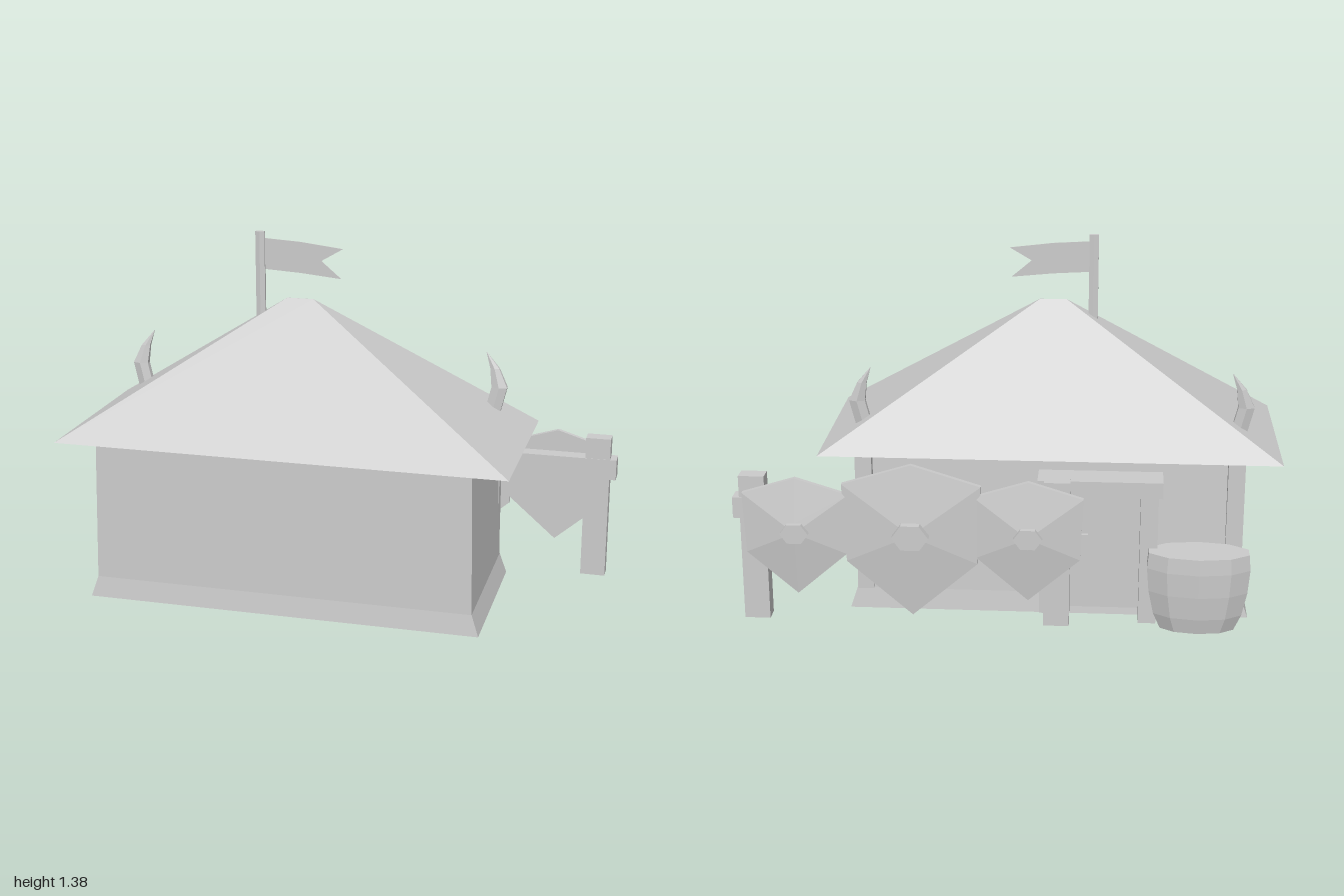
import * as THREE from 'three';

const CX = -0.152; // centre of the house

// Flat-shaded solid through rings of points, counter-clockwise about the direction of travel
function loft(rings) {
  const n = rings[0].length, pos = [];
  const tri = (a, b, c) => pos.push(...a, ...b, ...c);
  for (let r = 0; r + 1 < rings.length; r++) {
    const a = rings[r], b = rings[r + 1];
    for (let i = 0; i < n; i++) {
      const j = (i + 1) % n;
      tri(a[i], a[j], b[j]);
      tri(a[i], b[j], b[i]);
    }
  }
  const first = rings[0], last = rings[rings.length - 1];
  for (let i = 1; i + 1 < n; i++) {
    tri(first[0], first[i + 1], first[i]);
    tri(last[0], last[i], last[i + 1]);
  }
  const g = new THREE.BufferGeometry();
  g.setAttribute('position', new THREE.Float32BufferAttribute(pos, 3));
  g.computeVertexNormals();
  return g;
}

const rect = (y, hx, front, back) => [[-hx, front], [hx, front], [hx, back], [-hx, back]]
  .map(([x, z]) => [CX + x, y, z]);

const oval = (x, y, z, rx, rz, n) => Array.from({ length: n }, (_, i) => {
  const t = (i / n) * Math.PI * 2;
  return [x + Math.sin(t) * rx, y, z + Math.cos(t) * rz];
});

export function createModel() {
  const model = new THREE.Group();
  const grey = new THREE.MeshStandardMaterial({ color: 0xcccccc });
  grey.name = 'grey';

  const add = (name, geo, parent = model) => {
    const m = new THREE.Mesh(geo, grey);
    m.name = name;
    parent.add(m);
    return m;
  };
  const box = (name, x0, x1, y0, y1, z0, z1) => {
    const m = add(name, new THREE.BoxGeometry(x1 - x0, y1 - y0, z1 - z0));
    m.position.set((x0 + x1) / 2, (y0 + y1) / 2, (z0 + z1) / 2);
    return m;
  };

  // House body with a raised floor inside the flared foot, and hipped roof
  add('walls', loft([
    rect(0.08, 0.718, 0.378, -0.233), rect(0, 0.747, 0.389, -0.243),
    rect(0.08, 0.72, 0.38, -0.235), rect(0.62, 0.708, 0.374, -0.21),
  ]));
  add('roof', loft([rect(0.62, 0.848, 0.436, -0.29), rect(1.135, 0.05, 0.074, 0.072)]));

  // Timber posts on the back corners
  for (const s of [-1, 1]) {
    const x = CX + s * 0.685;
    box('cornerPost', x - 0.031, x + 0.031, 0.08, 0.62, -0.245, -0.2);
  }

  // Flagpole and swallow-tailed flag
  const pole = add('flagPole', new THREE.CylinderGeometry(0.02, 0.02, 0.34, 6).toNonIndexed());
  pole.geometry.computeVertexNormals();
  pole.geometry.scale(1, 1, 0.55);
  pole.position.set(-0.301, 1.21, 0.08);
  const flagShape = new THREE.Shape([
    [-0.29, 1.24], [-0.15, 1.232], [0.005, 1.217], [-0.07, 1.28],
    [0.012, 1.328], [-0.15, 1.347], [-0.29, 1.355],
  ].map(([x, y]) => new THREE.Vector2(x, y)));
  const flag = add('flag', new THREE.ExtrudeGeometry(flagShape, { depth: 0.003, bevelEnabled: false }));
  flag.position.z = 0.076;

  // Curved roof horns: height, outward offset, radius, depth
  const hornPath = [
    [0.7, 0.695, 0.034, -0.128], [0.79, 0.717, 0.034, -0.132],
    [0.86, 0.697, 0.02, -0.138], [0.92, 0.663, 0.001, -0.143],
  ];
  for (const s of [-1, 1]) {
    add('roofHorn', loft(hornPath.map(([y, x, r, z]) => oval(CX + s * x, y, z, r, r * 0.62, 6))));
  }

  // Doorway at the back
  box('door', -0.5, -0.17, 0.03, 0.5, -0.247, -0.2);
  box('doorHandle', -0.3, -0.275, 0.29, 0.325, -0.262, -0.24);
  box('doorPost', -0.555, -0.49, 0, 0.51, -0.315, -0.2);
  box('doorJamb', -0.18, -0.12, 0, 0.51, -0.25, -0.2);
  box('doorLintel', -0.57, -0.115, 0.5, 0.56, -0.333, -0.2);

  // Rail carrying the shields
  for (const x of [0.88, -0.235]) box('railPost', x, x + 0.095, 0, 0.562, -0.36, -0.3);
  box('rail', -0.24, 1.0, 0.4, 0.48, -0.364, -0.298);

  // Pointed six-sided shields with raised bosses
  const outline = [[0, 0.2], [-0.195, 0.14], [-0.185, -0.09], [0, -0.25], [0.185, -0.09], [0.195, 0.14]];
  const ring = (k, z) => outline.map(([x, y]) => [x * k, y * k, z]);
  const hex = (r, z) => Array.from({ length: 6 }, (_, i) =>
    [Math.cos(i * Math.PI / 3) * r, Math.sin(i * Math.PI / 3) * r * 0.8, z]);
  for (const [x, k] of [[0.765, 1], [0.34, 1.3], [-0.085, 1.02]]) {
    const shield = new THREE.Group();
    shield.name = 'shield';
    add('shieldFace', loft([ring(k, 0), ring(k, 0.02), ring(k * 0.18, 0.048)]), shield);
    add('shieldBoss', loft([hex(0.052 * k, 0.03), hex(0.052 * k, 0.066 + (k - 1) * 0.04)]), shield);
    shield.position.set(x, 0.365, -0.361);
    shield.rotation.y = Math.PI;
    model.add(shield);
  }

  // Flattened barrel beside the door
  const barrelProfile = [[0, 0.72], [0.06, 0.86], [0.15, 0.96], [0.24, 1], [0.3, 0.97]];
  add('barrel', loft(barrelProfile.map(([y, k]) => oval(-0.705, y, -0.33, 0.197 * k, 0.092 * k, 10))));

  return model;
}
